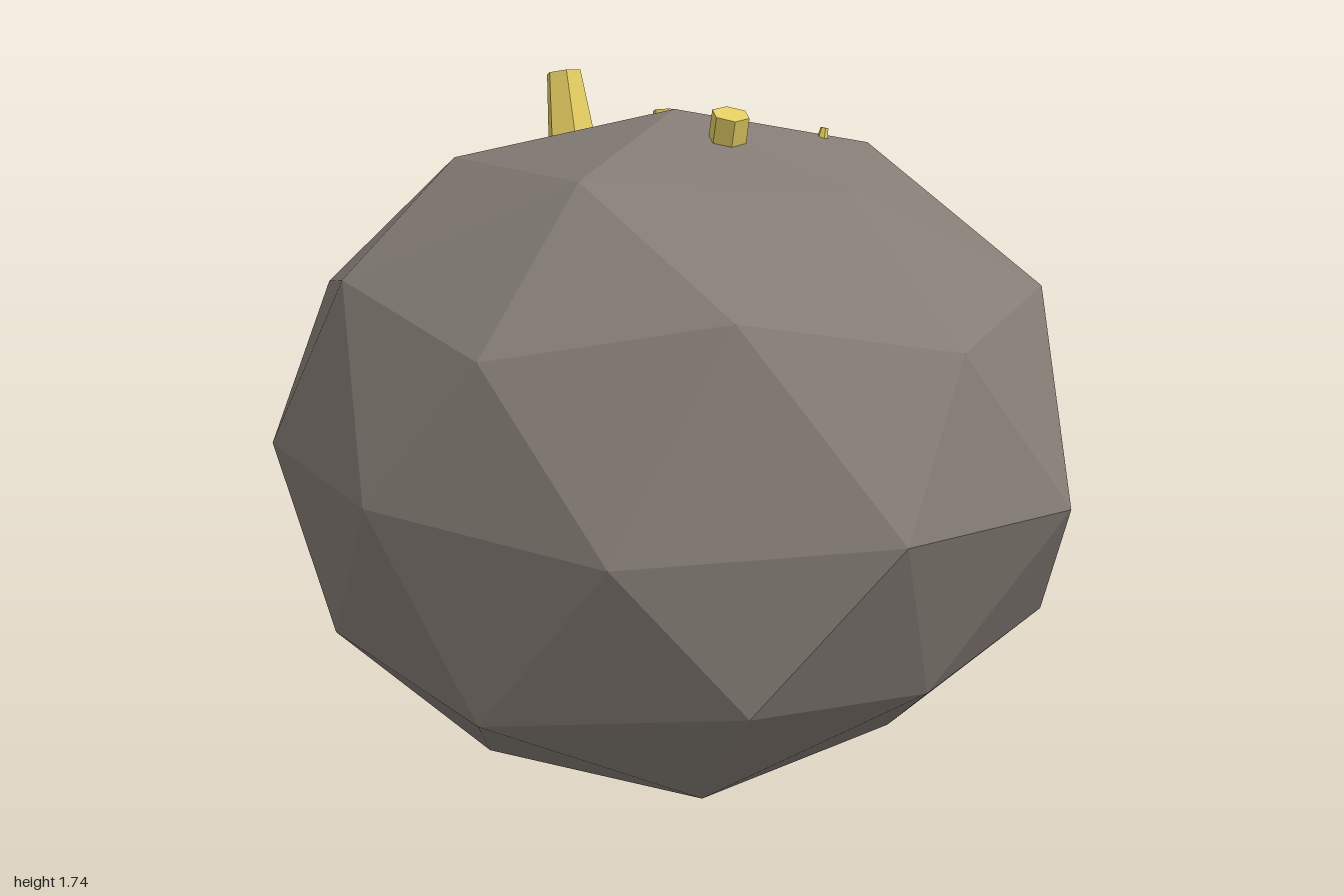
import * as THREE from 'three';

// Vertex rings of an irregular, slightly flattened icosphere; each ring turns from +x towards +z.
const equator = [
  [0.985, 0.83, 0.31], [0.58, 0.79, 0.79], [-0.005, 0.84, 1], [-0.67, 0.83, 0.82], [-0.98, 0.81, 0.3],
  [-0.985, 0.83, -0.25], [-0.65, 0.81, -0.75], [0.01, 0.8, -1], [0.57, 0.8, -0.76], [0.985, 0.8, -0.25],
];
const upper = {
  pole: [-0.01, 1.655, 0.06],
  cap: [[0.55, 1.505, 0.03], [0.19, 1.54, 0.53], [-0.5, 1.52, 0.36], [-0.46, 1.53, -0.29], [0.13, 1.545, -0.48]],
  ring: [[0.89, 1.19, 0.03], [0.24, 1.19, 0.86], [-0.8, 1.19, 0.55], [-0.8, 1.19, -0.52], [0.28, 1.19, -0.85]],
  mids: [[0.66, 1.285, 0.5], [-0.34, 1.285, 0.81], [-0.915, 1.28, 0.02], [-0.32, 1.28, -0.77], [0.7, 1.25, -0.48]],
};
const lower = {
  pole: [-0.02, 0, 0.05],
  cap: [[0.43, 0.1, 0.38], [-0.19, 0.07, 0.53], [-0.57, 0.12, 0.04], [-0.15, 0.07, -0.43], [0.43, 0.1, -0.27]],
  ring: [[0.76, 0.445, 0.55], [-0.34, 0.43, 0.87], [-0.94, 0.47, 0.04], [-0.27, 0.44, -0.82], [0.73, 0.44, -0.49]],
  mids: [[0.21, 0.35, 0.86], [-0.76, 0.385, 0.54], [-0.7, 0.39, -0.47], [0.26, 0.35, -0.8], [0.82, 0.385, 0.04]],
};

// Triangles of one half, repeated five times around the pole
function addHalf(out, { pole, cap, ring, mids }, shift, flip) {
  const tri = (a, b, c) => out.push(...a, ...(flip ? c : b), ...(flip ? b : c));
  for (let k = 0; k < 5; k++) {
    const n = (k + 1) % 5;
    const e = (i) => equator[(2 * k + shift + i + 10) % 10];
    tri(pole, cap[k], cap[n]);
    tri(cap[k], ring[k], mids[k]);
    tri(cap[k], mids[k], cap[n]);
    tri(cap[n], mids[k], ring[n]);
    tri(ring[k], e(-1), e(0));
    tri(ring[k], e(0), mids[k]);
    tri(mids[k], e(0), e(1));
    tri(mids[k], e(1), ring[n]);
  }
}

function makeBoulder() {
  const positions = [];
  addHalf(positions, upper, 0, true);
  addHalf(positions, lower, 1, false);
  const geometry = new THREE.BufferGeometry();
  geometry.setAttribute('position', new THREE.Float32BufferAttribute(positions, 3));
  geometry.computeVertexNormals();
  const material = new THREE.MeshStandardMaterial({ color: 0x847c75, flatShading: true });
  const mesh = new THREE.Mesh(geometry, material);
  mesh.name = 'boulder';
  return mesh;
}

// Six-sided tapered crystal standing between two points
function makeCrystal(base, tip, baseRadius, tipRadius, material) {
  const from = new THREE.Vector3(...base);
  const axis = new THREE.Vector3(...tip).sub(from);
  const geometry = new THREE.CylinderGeometry(tipRadius, baseRadius, axis.length(), 6);
  const mesh = new THREE.Mesh(geometry, material);
  mesh.position.copy(from).addScaledVector(axis, 0.5);
  mesh.quaternion.setFromUnitVectors(new THREE.Vector3(0, 1, 0), axis.normalize());
  mesh.name = 'crystal';
  return mesh;
}

export function createModel() {
  const model = new THREE.Group();
  model.name = 'crystalBoulder';
  model.add(makeBoulder());

  const crystals = new THREE.Group();
  crystals.name = 'crystals';
  const yellow = new THREE.MeshStandardMaterial({ color: 0xe3cc62, flatShading: true });
  const specs = [
    [[-0.305, 1.53, 0.135], [-0.35, 1.727, 0.125], 0.066, 0.045], // tall
    [[0.18, 1.57, 0.07], [0.207, 1.66, 0.08], 0.046, 0.046], // short, right
    [[-0.37, 1.53, -0.24], [-0.383, 1.605, -0.25], 0.04, 0.036], // short, back
    [[0.115, 1.53, -0.32], [0.12, 1.592, -0.33], 0.02, 0.01], // barely showing
    [[-0.22, 0.12, 0], [-0.24, 0.043, 0], 0.045, 0.04], // underside
  ];
  for (const spec of specs) crystals.add(makeCrystal(...spec, yellow));
  model.add(crystals);
  return model;
}
